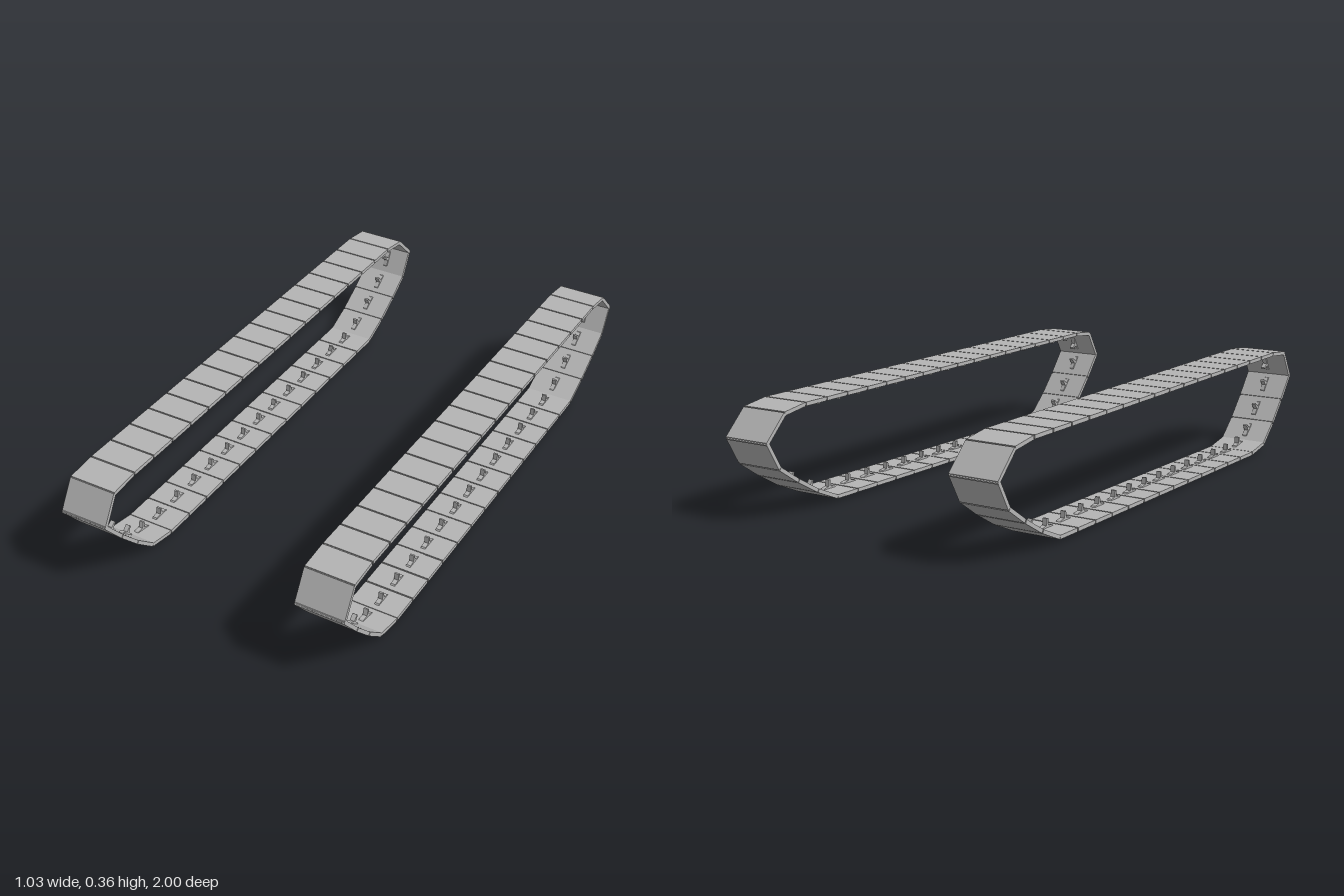
import * as THREE from 'three';

const WIDTH = 0.17, THICK = 0.013, GAP = 0.005, TRACK_X = 0.43;

// Outer joints of the track as [z, y], running back along the top and forward along the bottom
function trackJoints() {
  const joints = [[1, 0.25], [0.938, 0.352]];
  for (let i = 0; i <= 16; i++) joints.push([0.832 - i * 0.1027, 0.362]);
  joints.push([-0.912, 0.348], [-1, 0.263], [-0.945, 0.167], [-0.86, 0.11], [-0.768, 0.057]);
  for (let i = 0; i <= 13; i++) joints.push([-0.67 + i * 0.1035, 0.014 - i * 0.00108]);
  joints.push([0.778, 0.018], [0.855, 0.085], [0.927, 0.162]);
  return joints;
}

// Guide horn: a narrow spike with a flared foot, pointing along +y
function hornGeometry() {
  const s = new THREE.Shape();
  s.moveTo(-0.03, 0);
  s.lineTo(0.03, 0);
  s.lineTo(0.026, 0.004);
  s.lineTo(0.006, 0.007);
  s.lineTo(0.003, 0.029);
  s.lineTo(-0.003, 0.029);
  s.lineTo(-0.006, 0.007);
  s.lineTo(-0.026, 0.004);
  s.closePath();
  const g = new THREE.ExtrudeGeometry(s, { depth: 0.016, bevelEnabled: false });
  g.translate(0, 0, -0.008);
  g.rotateY(Math.PI / 2);
  return g;
}

export function createModel() {
  const model = new THREE.Group();
  model.name = 'tracks';
  const steel = new THREE.MeshStandardMaterial({ color: 0xb4b4b4, flatShading: true });
  steel.name = 'track grey';
  const horn = hornGeometry();
  const joints = trackJoints();

  for (const side of [1, -1]) {
    const track = new THREE.Group();
    track.name = side > 0 ? 'leftTrack' : 'rightTrack';
    track.position.x = side * TRACK_X;
    joints.forEach(([z0, y0], i) => {
      const [z1, y1] = joints[(i + 1) % joints.length];
      const dz = z1 - z0, dy = y1 - y0, length = Math.hypot(dz, dy);
      // Local +z follows the track and local +y points to the inside of the loop
      const link = new THREE.Group();
      link.name = 'trackLink';
      link.position.set(0, (y0 + y1) / 2, (z0 + z1) / 2);
      const along = new THREE.Vector3(0, dy / length, dz / length);
      const inward = new THREE.Vector3(0, dz / length, -dy / length);
      const across = new THREE.Vector3().crossVectors(inward, along);
      link.quaternion.setFromRotationMatrix(new THREE.Matrix4().makeBasis(across, inward, along));

      const plate = new THREE.Mesh(new THREE.BoxGeometry(WIDTH, THICK, length - GAP), steel);
      plate.name = 'linkPlate';
      plate.position.y = THICK / 2;
      const guide = new THREE.Mesh(horn, steel);
      guide.name = 'guideHorn';
      guide.position.y = THICK;
      // Hinge pin bridging the gap to the next link
      const pin = new THREE.Mesh(new THREE.CylinderGeometry(0.004, 0.004, WIDTH - 0.004, 6), steel);
      pin.name = 'hingePin';
      pin.rotation.z = Math.PI / 2;
      pin.position.set(0, THICK / 2, length / 2);
      link.add(plate, guide, pin);
      track.add(link);
    });
    model.add(track);
  }
  return model;
}
